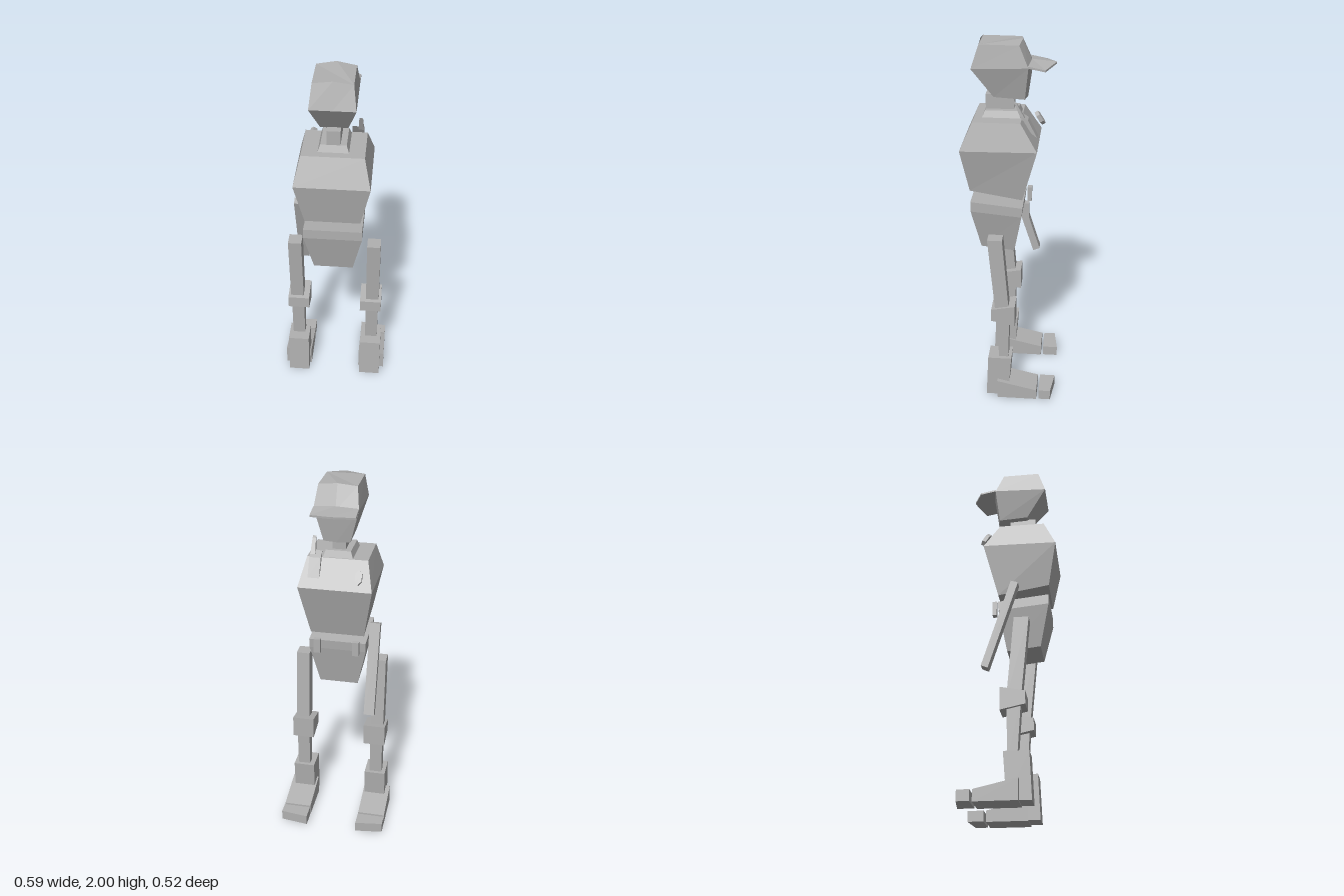
import * as THREE from 'three';

const grey = new THREE.MeshStandardMaterial({ color: 0xb0b0b0 });
grey.name = 'grey';

// Skin a stack of rings, listed bottom to top, each counter-clockwise seen from above
function loft(name, rings) {
  const pos = [];
  const tri = (a, b, c) => pos.push(...a, ...b, ...c);
  const n = rings[0].length;
  for (let r = 0; r < rings.length - 1; r++) {
    for (let i = 0; i < n; i++) {
      const j = (i + 1) % n, lo = rings[r], hi = rings[r + 1];
      tri(lo[i], lo[j], hi[j]);
      tri(lo[i], hi[j], hi[i]);
    }
  }
  const bottom = rings[0], top = rings[rings.length - 1];
  for (let i = 1; i < n - 1; i++) {
    tri(bottom[0], bottom[i + 1], bottom[i]);
    tri(top[0], top[i], top[i + 1]);
  }
  const geo = new THREE.BufferGeometry();
  geo.setAttribute('position', new THREE.Float32BufferAttribute(pos, 3));
  geo.computeVertexNormals();
  const mesh = new THREE.Mesh(geo, grey);
  mesh.name = name;
  return mesh;
}

// Four-cornered ring: x range, then [y, z] of its +z edge and its -z edge
const ring = (x0, x1, [yb, zb], [yf, zf]) =>
  [[x1, yb, zb], [x1, yf, zf], [x0, yf, zf], [x0, yb, zb]];
const sym = (w, b, f) => ring(-w, w, b, f);
const mirror = (r) => r.map(([x, y, z]) => [-x, y, z]).reverse();

// Head ring with a ridge down the middle of the face
const headRing = (w, yb, zb, yf, zf, zRidge, lift = 0) => [
  [w, yb, zb], [w, yf, zf], [0, yf + lift, zRidge],
  [-w, yf, zf], [-w, yb, zb], [0, yb + lift, zb],
];

function makeHead() {
  const head = new THREE.Group();
  head.name = 'head';
  head.add(loft('skull', [
    headRing(0.07, 1.71, 0.09, 1.7, -0.07, -0.082),
    headRing(0.115, 1.865, 0.2, 1.875, -0.09, -0.107),
    headRing(0.1, 1.987, 0.16, 1.985, -0.043, -0.055, 0.013),
  ]));
  // Cap peak
  const peak = (d) => [
    [0.115, 1.875 + d, -0.088], [0.115, 1.858 + d, -0.175], [0, 1.873 + d, -0.227],
    [-0.115, 1.858 + d, -0.175], [-0.115, 1.875 + d, -0.088], [0, 1.885 + d, -0.1],
  ];
  // Split at the centre line so the caps stay clean
  const half = (d) => { const p = peak(d); return [p[5], p[0], p[1], p[2]]; };
  head.add(loft('capPeakLeft', [half(0), half(0.01)]));
  head.add(loft('capPeakRight', [mirror(half(0)), mirror(half(0.01))]));
  return head;
}

function makeTorso() {
  const torso = new THREE.Group();
  torso.name = 'torso';
  torso.add(
    loft('neck', [sym(0.035, [1.62, 0.135], [1.62, -0.013]), sym(0.035, [1.715, 0.135], [1.715, -0.013])]),
    loft('collar', [sym(0.08, [1.598, 0.152], [1.598, -0.05]), sym(0.066, [1.637, 0.135], [1.637, -0.035])]),
    loft('chest', [
      sym(0.145, [1.217, 0.213], [1.172, -0.065]),
      sym(0.195, [1.455, 0.257], [1.46, -0.143]),
      sym(0.16, [1.602, 0.192], [1.602, -0.055]),
    ]),
    loft('pelvis', [
      sym(0.106, [0.872, 0.16], [0.852, -0.02]),
      sym(0.155, [1.1, 0.21], [1.075, -0.062]),
      sym(0.155, [1.155, 0.21], [1.127, -0.067]),
    ]),
  );
  return torso;
}

function makeGear() {
  const gear = new THREE.Group();
  gear.name = 'gear';
  // Radio clipped to the left of the chest
  gear.add(loft('radioBody', [
    ring(0.08, 0.14, [1.545, -0.108], [1.52, -0.14]),
    ring(0.08, 0.14, [1.638, -0.052], [1.613, -0.092]),
  ]));
  gear.add(loft('radioAerial', [
    ring(0.112, 0.14, [1.615, -0.058], [1.605, -0.085]),
    ring(0.117, 0.135, [1.705, -0.02], [1.697, -0.034]),
  ]));
  // Six-sided badge on the right of the chest
  const badge = new THREE.Mesh(new THREE.CylinderGeometry(0.04, 0.04, 0.022, 6).toNonIndexed(), grey);
  badge.geometry.computeVertexNormals();
  badge.name = 'badge';
  badge.scale.x = 0.5;
  badge.rotation.x = -1.0;
  badge.position.set(-0.126, 1.54, -0.138);
  gear.add(badge);
  // Belt pouches
  for (const x of [0.105, -0.105]) {
    const pouch = new THREE.Mesh(new THREE.BoxGeometry(0.036, 0.08, 0.024), grey);
    pouch.name = 'beltPouch';
    pouch.position.set(x, 1.105, -0.088);
    gear.add(pouch);
  }
  // Baton at the right hip
  gear.add(loft('baton', [
    ring(-0.22, -0.163, [0.715, -0.107], [0.73, -0.143]),
    ring(-0.22, -0.163, [1.205, 0.052], [1.217, 0.013]),
  ]));
  return gear;
}

function makeLeg(side) {
  const leg = new THREE.Group();
  leg.name = side > 0 ? 'leftLeg' : 'rightLeg';
  const add = (name, rings) => leg.add(loft(name, side > 0 ? rings : rings.map(mirror)));
  add('thigh', [
    ring(0.18, 0.253, [0.53, 0.07], [0.53, -0.005]),
    ring(0.18, 0.253, [0.98, 0.112], [0.98, 0.033]),
  ]);
  add('knee', [
    ring(0.147, 0.267, [0.492, 0.093], [0.465, -0.037]),
    ring(0.147, 0.267, [0.562, 0.093], [0.587, -0.037]),
  ]);
  add('shin', [
    ring(0.18, 0.25, [0.22, 0.05], [0.22, 0.002]),
    ring(0.18, 0.25, [0.53, 0.07], [0.53, -0.006]),
  ]);
  add('ankle', [
    ring(0.153, 0.272, [0.005, 0.123], [0.005, 0.0]),
    ring(0.153, 0.272, [0.25, 0.112], [0.25, -0.018]),
  ]);
  add('foot', [
    ring(0.144, 0.296, [0, 0.06], [0, -0.162]),
    ring(0.144, 0.296, [0.11, 0.06], [0.06, -0.162]),
  ]);
  // Toe cap, longer on the inner side
  const toe = (y) => [[0.296, y, -0.175], [0.296, y, -0.24], [0.144, y, -0.26], [0.144, y, -0.175]];
  add('toe', [toe(0.003), toe(0.06)]);
  return leg;
}

export function createModel() {
  const model = new THREE.Group();
  model.name = 'figure';
  model.add(makeHead(), makeTorso(), makeGear(), makeLeg(1), makeLeg(-1));
  return model;
}
